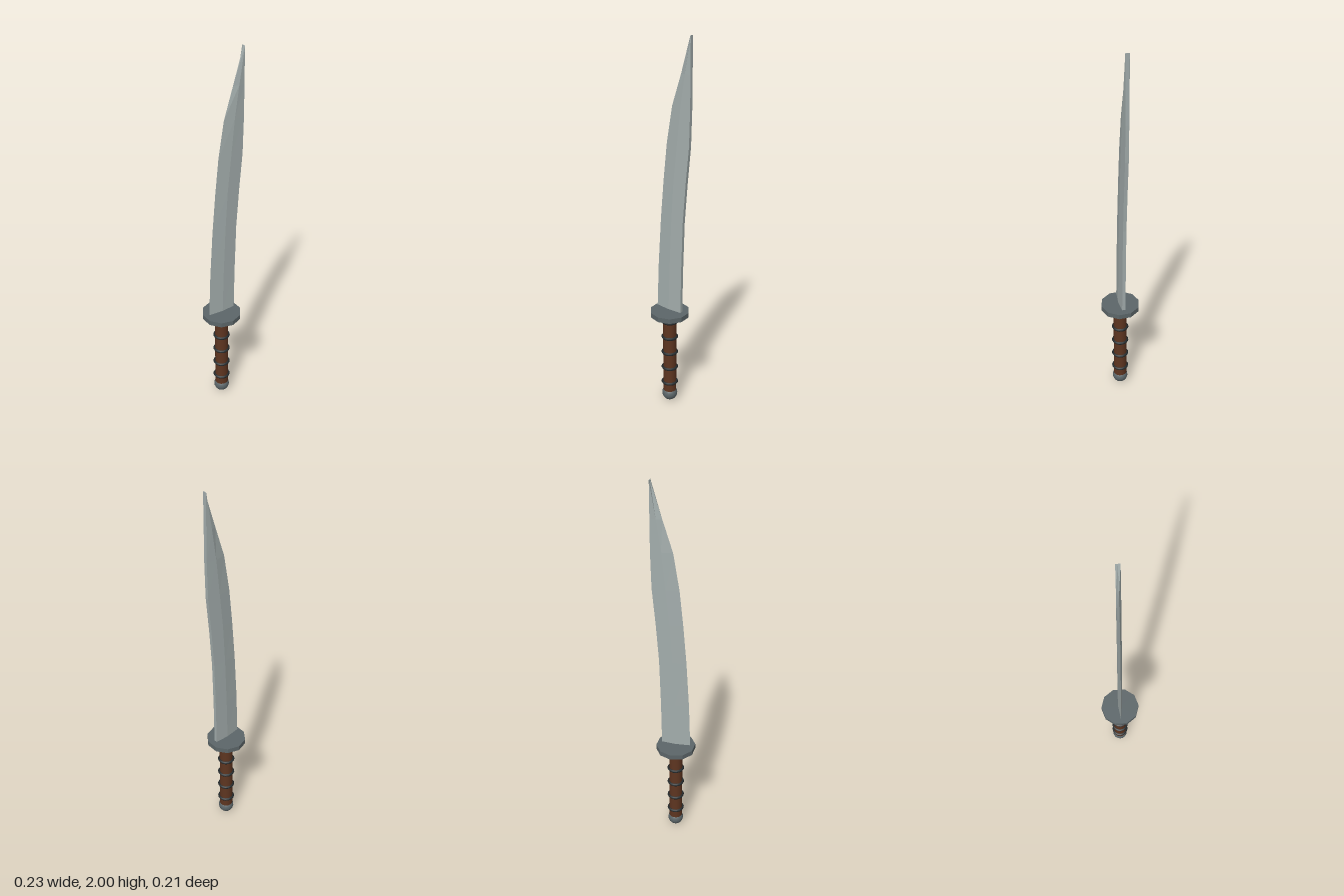
import * as THREE from 'three';

const AXIS = -0.015; // x of the grip axis

function bladeGeometry() {
  // each row: height, cutting edge x, ridge x, spine x
  const rows = [
    [0.565, -0.095, -0.015, 0.06],
    [0.81, -0.086, -0.008, 0.064],
    [1.07, -0.07, 0.003, 0.072],
    [1.28, -0.052, 0.016, 0.088],
    [1.47, -0.032, 0.036, 0.106],
    [1.66, 0.0, 0.056, 0.111],
    [1.82, 0.052, 0.08, 0.111],
    [2.0, 0.109, 0.11, 0.111],
  ];
  const sections = rows.map(([y, edge, ridge, spine]) => [
    [edge, y, 0], [ridge, y, 0.011], [spine, y, 0.009],
    [spine, y, -0.009], [ridge, y, -0.011],
  ]);
  const pos = [];
  const tri = (a, b, c) => pos.push(...a, ...b, ...c);
  for (let i = 0; i < sections.length - 1; i++) {
    const lo = sections[i], hi = sections[i + 1];
    for (let j = 0; j < 5; j++) {
      const k = (j + 1) % 5;
      tri(lo[j], lo[k], hi[k]);
      tri(lo[j], hi[k], hi[j]);
    }
  }
  // end caps
  const base = sections[0], tip = sections[sections.length - 1];
  for (let k = 1; k < 4; k++) {
    tri(base[0], base[k + 1], base[k]);
    tri(tip[0], tip[k], tip[k + 1]);
  }
  const geo = new THREE.BufferGeometry();
  geo.setAttribute('position', new THREE.Float32BufferAttribute(pos, 3));
  geo.computeVertexNormals();
  return geo;
}

export function createModel() {
  const group = new THREE.Group();
  const steel = new THREE.MeshStandardMaterial({ color: 0xa3adac, flatShading: true });
  const iron = new THREE.MeshStandardMaterial({ color: 0x5c6669, flatShading: true });
  const pommelIron = new THREE.MeshStandardMaterial({ color: 0x5c6669 });
  const leather = new THREE.MeshStandardMaterial({ color: 0x5e3520 });
  const cord = new THREE.MeshStandardMaterial({ color: 0x252b2d });

  const add = (name, geo, mat, x = 0, y = 0) => {
    const mesh = new THREE.Mesh(geo, mat);
    mesh.name = name;
    mesh.position.set(x, y, 0);
    group.add(mesh);
    return mesh;
  };

  add('blade', bladeGeometry(), steel);

  // ten-sided hand guard
  add('guard', new THREE.CylinderGeometry(0.105, 0.105, 0.027, 10), iron, AXIS, 0.542);

  // grip with evenly spaced binding rings
  add('grip', new THREE.CylinderGeometry(0.036, 0.036, 0.485, 16), leather, AXIS, 0.2875);
  for (let i = 0; i < 5; i++) {
    const ring = add('gripRing', new THREE.TorusGeometry(0.038, 0.008, 6, 16), cord, AXIS, 0.115 + i * 0.094);
    ring.rotation.x = Math.PI / 2;
  }

  // round pommel
  add('pommel', new THREE.SphereGeometry(0.042, 16, 12), pommelIron, AXIS, 0.042);

  return group;
}
